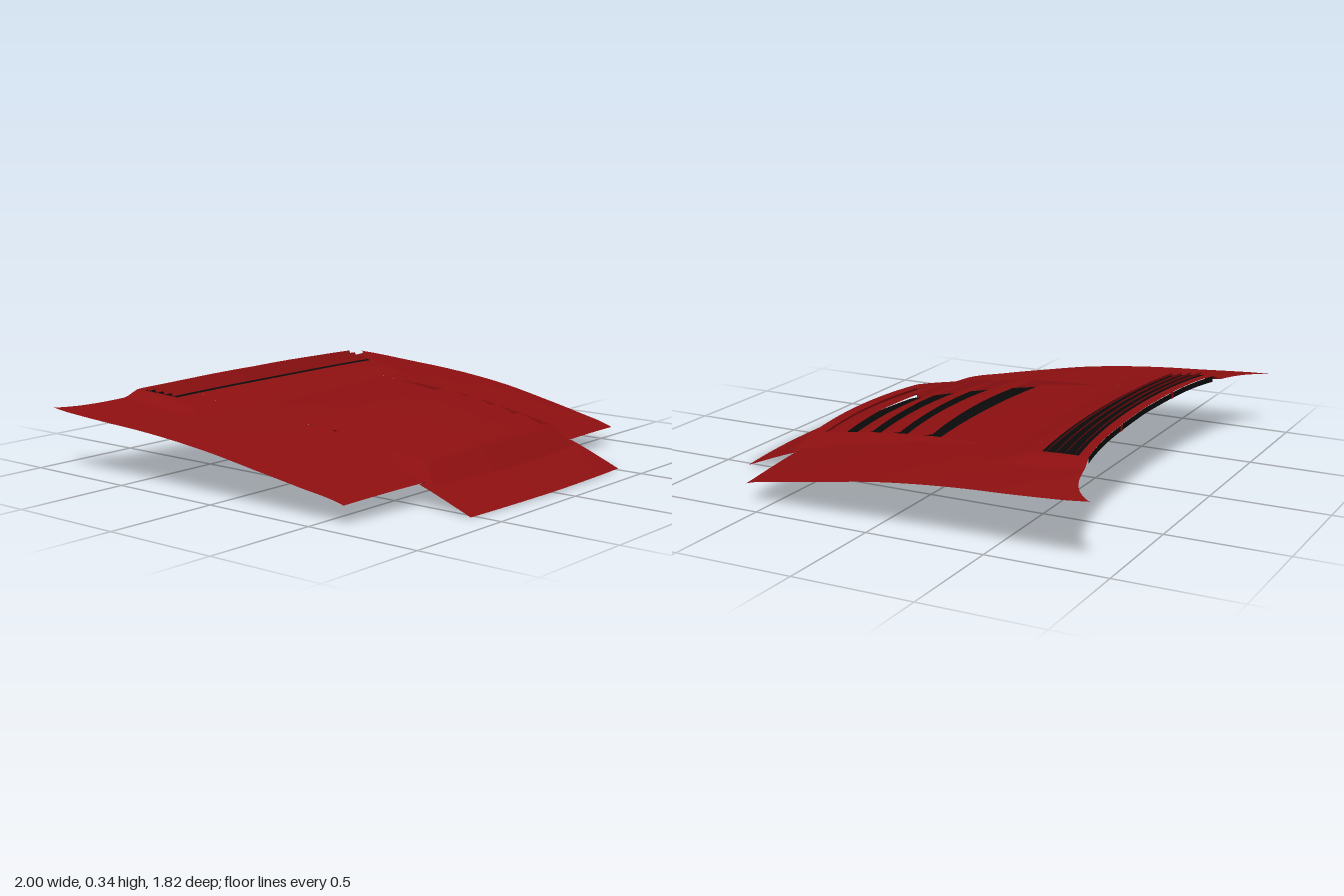
import * as THREE from 'three';

const red = new THREE.MeshStandardMaterial({ color: 0x8c0f10, side: THREE.DoubleSide });
const black = new THREE.MeshStandardMaterial({ color: 0x0a0a0a, side: THREE.DoubleSide });
const { lerp, clamp, smoothstep } = THREE.MathUtils;

// smooth curve through [position, value] pairs with ascending positions
function profile(pts) {
  const slope = (a, b) => (pts[b][1] - pts[a][1]) / (pts[b][0] - pts[a][0]);
  const n = pts.length - 1;
  return (p) => {
    let i = 0;
    while (i < n - 1 && p > pts[i + 1][0]) i++;
    const [x0, y0] = pts[i], [x1, y1] = pts[i + 1], d = x1 - x0;
    const t = clamp((p - x0) / d, 0, 1);
    const m0 = slope(Math.max(i - 1, 0), i + 1) * d;
    const m1 = slope(i, Math.min(i + 2, n)) * d;
    const t2 = t * t, t3 = t2 * t;
    return (2 * t3 - 3 * t2 + 1) * y0 + (t3 - 2 * t2 + t) * m0 + (3 * t2 - 2 * t3) * y1 + (t3 - t2) * m1;
  };
}

// main curves: centre line height, side edge height, half width, rear edge
const centreY = profile([[-0.91, 0.335], [-0.72, 0.315], [-0.5, 0.285], [-0.35, 0.267], [-0.2, 0.255],
  [0, 0.235], [0.2, 0.205], [0.4, 0.165], [0.6, 0.118], [0.7, 0.088], [0.91, 0.012]]);
const edgeY = profile([[-0.91, 0.272], [-0.6, 0.253], [-0.4, 0.242], [-0.2, 0.225], [0, 0.2],
  [0.2, 0.165], [0.4, 0.128], [0.6, 0.085], [0.91, -0.05]]);
const halfWidth = profile([[-0.91, 0.99], [-0.8, 1], [-0.4, 0.99], [0, 0.975], [0.3, 0.953], [0.6, 0.92]]);
const rearZ = profile([[0, -0.715], [0.4, -0.73], [0.6, -0.752], [0.8, -0.79], [0.9, -0.83], [0.97, -0.88], [1, -0.912]]);

// crowned panel with a raised area at the rear
function baseY(x, z) {
  const a = Math.abs(x), c = centreY(z);
  const raise = 0.025 * (1 - smoothstep(a, 0.65, 0.73)) * smoothstep(-z, 0.33, 0.53);
  return c - (c - edgeY(z)) * Math.pow(a / halfWidth(z), 2.2) + raise;
}

// scoop: footprint line, ridge line and ridge height
const scoopT = (z) => clamp((z + 0.28) / 0.88, 0, 1.2);
const footX = (z) => 0.51 - 0.019 * scoopT(z);
const ridgeX = (z) => 0.51 - 0.07 * scoopT(z);
const ridgeH = (z) => 0.055 * Math.pow(scoopT(z), 0.85);

// surface patch: f(s, t) returns [x, y, z]
function patch(name, f, nu, nv, material = red) {
  const pos = [], index = [];
  for (let j = 0; j <= nv; j++) {
    for (let i = 0; i <= nu; i++) {
      pos.push(...f(i / nu, j / nv));
      if (i < nu && j < nv) {
        const a = j * (nu + 1) + i, b = a + nu + 1;
        index.push(a, b, a + 1, a + 1, b, b + 1);
      }
    }
  }
  const g = new THREE.BufferGeometry();
  g.setAttribute('position', new THREE.Float32BufferAttribute(pos, 3));
  g.setIndex(index);
  g.computeVertexNormals();
  const m = new THREE.Mesh(g, material);
  m.name = name;
  return m;
}

export function createModel() {
  const group = new THREE.Group();
  group.name = 'bonnet';
  const add = (...args) => group.add(patch(...args));
  const on = (x, z, dy = 0) => [x, baseY(x, z) + dy, z];

  // centre panel behind the scoop slats
  add('centrePanel', (u, t) => {
    const s = 2 * u - 1;
    const z = lerp(rearZ(Math.abs(s) * 0.51), 0.01 - 0.025 * s * s, t);
    return on(s * ridgeX(z), z);
  }, 40, 40);

  for (const side of [-1, 1]) {
    // outer panel
    add(side > 0 ? 'leftPanel' : 'rightPanel', (u, t) => {
      const z = lerp(rearZ(lerp(0.51, 1, u)), 0.64 - 0.04 * u, t);
      return on(side * lerp(footX(z), halfWidth(z), u), z);
    }, 60, 60);
    // sloping scoop wall and its inner face
    add('scoopWall', (u, t) => {
      const zo = lerp(-0.28, 0.68, t), zi = lerp(-0.28, 0.605, t);
      const o = on(side * footX(zo), zo), i = on(side * ridgeX(zi), zi, ridgeH(zi));
      return o.map((v, k) => lerp(v, i[k], u));
    }, 2, 30);
    add('scoopInnerWall', (u, t) => {
      const z = lerp(-0.28, 0.605, t);
      return on(side * ridgeX(z), z, ridgeH(z) * (1 - u) - 0.01 * u);
    }, 1, 30);
  }

  // nose tongue
  add('nose', (u, t) => {
    const s = 2 * u - 1;
    return on(s * lerp(0.527, 0.522, t), lerp(0.64, 0.908 - 0.03 * s * s, t));
  }, 30, 12);

  // scoop front face and top lip
  const lip = (s) => [s * 0.44, baseY(0.44, 0.605) + ridgeH(0.605) + 0.01 * (1 - s * s), 0.635 - 0.03 * s * s];
  add('scoopFront', (u, t) => {
    const s = 2 * u - 1, a = on(s * footX(0.68), 0.71 - 0.03 * s * s), b = lip(s);
    return a.map((v, k) => lerp(v, b[k], t));
  }, 24, 2);
  add('scoopLip', (u, t) => {
    const [x, y, z] = lip(2 * u - 1);
    return [x, y + 0.004 * t, z - 0.055 * t];
  }, 24, 1);

  // scoop slats: [front z, front y, rear z, rear y]
  for (const [z0, y0, z1, y1] of [[0.59, 0.165, 0.452, 0.21], [0.435, 0.19, 0.322, 0.233],
    [0.305, 0.215, 0.185, 0.252], [0.165, 0.237, 0.03, 0.266]]) {
    add('scoopSlat', (u, t) => {
      const s = 2 * u - 1, z = lerp(z0, z1, t) - 0.03 * s * s;
      return [s * ridgeX(z), lerp(y0, y1, Math.pow(t, 0.8)) - 0.012 * s * s, z];
    }, 24, 5);
  }

  // dark tray below the slats
  add('scoopTray', (u, t) => {
    const s = 2 * u - 1, z = lerp(-0.03, 0.7 - 0.03 * s * s, t);
    return on(s * footX(z), z, -0.012);
  }, 20, 20, black);

  // rear vent: dark field on both faces, with raised blades
  const ventPoint = (s, t, dz = 0, dy = 0) => {
    const z = lerp(-0.525 - 0.03 * s * s, -0.672 - 0.048 * s * s, t) + dz;
    return on(s * lerp(0.63, 0.66, t), z, dy);
  };
  for (const dy of [0.003, -0.003]) {
    add('rearVent', (u, t) => ventPoint(2 * u - 1, t, 0, dy), 40, 8, black);
  }
  for (const c of [0.13, 0.38, 0.63, 0.88]) {
    add('ventBlade', (u, t) => ventPoint(2 * u - 1, c, -0.008 * t, 0.002 + 0.014 * t), 40, 1);
  }

  // openings under the rear edge, split by two dividers
  const rearStrip = (name, x0, x1, top, drop, off, mat) => add(name, (u, t) => {
    const x = lerp(x0, x1, u), z = rearZ(Math.abs(x));
    return [x, baseY(x, z) - lerp(top, drop, t), z + off];
  }, 30, 1, mat);
  rearStrip('rearOpening', -0.66, 0.66, 0.003, 0.027, 0.002, black);
  for (const x of [-0.27, 0.27]) rearStrip('rearDivider', x - 0.012, x + 0.012, 0, 0.027, -0.001, red);
  return group;
}
